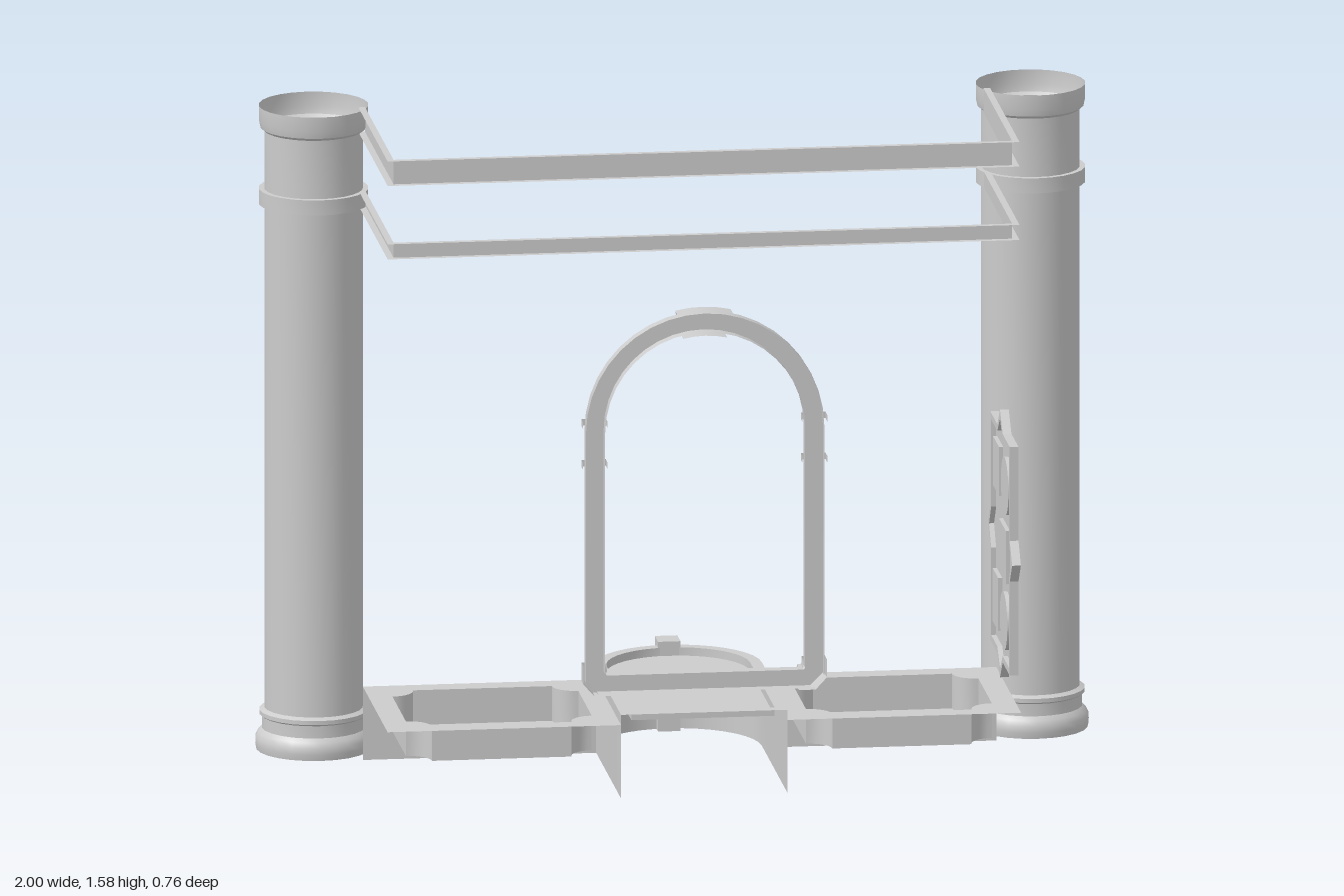
import * as THREE from 'three';
import { toCreasedNormals } from 'three/addons/utils/BufferGeometryUtils.js';

export function createModel() {
  const root = new THREE.Group();
  root.name = 'colonnadeTerrace';
  const stone = new THREE.MeshStandardMaterial({ color: 0xcccccc, side: THREE.DoubleSide });
  stone.name = 'grey stone';

  const add = (name, geo, parent = root) => {
    const m = new THREE.Mesh(geo, stone);
    m.name = name;
    parent.add(m);
    return m;
  };
  const box = (name, x0, x1, y0, y1, z0, z1, parent) => {
    const m = add(name, new THREE.BoxGeometry(x1 - x0, y1 - y0, z1 - z0), parent);
    m.position.set((x0 + x1) / 2, (y0 + y1) / 2, (z0 + z1) / 2);
    return m;
  };
  // Skin a surface over rows of [x, y, z] points
  const loft = (rows, closed = false) => {
    const pos = [];
    const n = rows[0].length;
    for (let r = 0; r < rows.length - 1; r++) {
      for (let i = 0; i < (closed ? n : n - 1); i++) {
        const j = (i + 1) % n;
        const a = rows[r][i], b = rows[r][j], c = rows[r + 1][j], d = rows[r + 1][i];
        pos.push(...a, ...b, ...c, ...a, ...c, ...d);
      }
    }
    const g = new THREE.BufferGeometry();
    g.setAttribute('position', new THREE.Float32BufferAttribute(pos, 3));
    g.computeVertexNormals();
    return toCreasedNormals(g, 0.5);
  };
  const shapeOf = (pts) => new THREE.Shape(pts.map(([x, y]) => new THREE.Vector2(x, y)));
  // Flat horizontal sheet from (x, z) points, facing up
  const sheet = (outline, y, hole) => {
    const s = shapeOf(outline);
    if (hole) s.holes.push(shapeOf(hole));
    return new THREE.ShapeGeometry(s).rotateX(-Math.PI / 2).scale(1, 1, -1).translate(0, y, 0);
  };

  // Hollow columns with moulded base, collar and lip
  const profile = [
    [0.137, 0], [0.14, 0.015], [0.139, 0.03], [0.133, 0.043], [0.124, 0.052], [0.124, 0.082],
    [0.13, 0.086], [0.13, 0.096], [0.118, 0.102], [0.118, 1.335], [0.131, 1.335], [0.131, 1.372],
    [0.118, 1.372], [0.118, 1.515], [0.127, 1.522], [0.131, 1.54], [0.131, 1.575],
  ].map(([r, y]) => new THREE.Vector2(r, y));
  for (const s of [1, -1]) {
    const column = add(s > 0 ? 'leftColumn' : 'rightColumn',
      toCreasedNormals(new THREE.LatheGeometry(profile, 24), 0.6));
    column.position.set(s * 0.86, 0, -0.24);
  }

  // Channel rails running round three sides, open outward
  const railPath = (o, y) => {
    const x = 0.742 + o, z = 0.33 + o;
    return [[x, y, -0.2], [x, y, z], [-x, y, z], [-x, y, -0.2]];
  };
  for (const [name, y0, y1] of [['upperRail', 1.515, 1.575], ['lowerRail', 1.335, 1.372]]) {
    add(name, loft([railPath(0.016, y1), railPath(0, y1), railPath(0, y0), railPath(0.016, y0)]));
  }

  // Side decks with sunken trays that have scooped corners
  const trayOutline = (cx, cz, a, b, r) => {
    const pts = [];
    const corners = [[a, b], [-a, b], [-a, -b], [a, -b]];
    corners.forEach(([x, z], k) => {
      const polar = (deg, rad) => {
        const t = (deg + 90 * k) * Math.PI / 180;
        pts.push([cx + x + rad * Math.cos(t), cz + z + rad * Math.sin(t)]);
      };
      polar(-90, r);
      for (let i = 0; i <= 6; i++) polar(-102 - i * 11, r);
      polar(-180, r);
    });
    return pts;
  };
  for (const s of [1, -1]) {
    const deck = new THREE.Group();
    deck.name = s > 0 ? 'leftDeck' : 'rightDeck';
    root.add(deck);
    const xa = s * 0.2, xb = s * 0.76;
    const tray = trayOutline(s * 0.48, 0.133, 0.223, 0.18, 0.056);
    add('deckTop', sheet([[xa, -0.1], [xb, -0.1], [xb, 0.36], [xa, 0.36]], 0.18, tray), deck);
    add('trayWall', loft([0.18, 0.095].map((y) => tray.map(([x, z]) => [x, y, z])), true), deck);
    add('trayFloor', sheet(tray, 0.095), deck);
    add('deckBackWall', loft([0, 0.18].map((y) => [[xa, y, -0.1], [xb, y, -0.1]])), deck);
  }

  // Round-ended central basin with a raised rim
  const basinPath = (w, front) => {
    const pts = [[w, front]];
    for (let i = 0; i <= 18; i++) {
      const t = (i / 18) * Math.PI;
      pts.push([w * Math.cos(t), -0.12 - w * Math.sin(t)]);
    }
    pts.push([-w, front]);
    return pts;
  };
  const at = (pts, y) => pts.map(([x, z]) => [x, y, z]);
  const outer = basinPath(0.2, 0.36), inner = basinPath(0.172, 0.335);
  add('basinWall', loft([at(outer, 0), at(outer, 0.205)]));
  add('basinRim', loft([at(outer, 0.205), at(inner, 0.205), at(inner, 0.185)], true));
  add('basinFloor', sheet(inner, 0.185));
  box('basinKeystone', -0.027, 0.027, 0, 0.22, -0.35, -0.29);

  // Arched window frame, a channel open to the front
  const archPath = (w, bottom, c, z) => {
    const pts = [[-w, bottom + c, z], [-w + c, bottom, z], [w - c, bottom, z], [w, bottom + c, z]];
    for (let i = 0; i <= 20; i++) {
      const t = (i / 20) * Math.PI;
      pts.push([w * Math.cos(t), 0.9 + w * Math.sin(t), z]);
    }
    return pts;
  };
  const frame = new THREE.Group();
  frame.name = 'archFrame';
  root.add(frame);
  add('archMoulding', loft([
    archPath(0.286, 0.26, 0.03, 0.375), archPath(0.286, 0.26, 0.03, 0.345),
    archPath(0.24, 0.306, 0.004, 0.345), archPath(0.24, 0.306, 0.004, 0.375),
  ], true), frame);
  for (const s of [1, -1]) {
    // Bands round the uprights, as three-sided clips
    for (const y of [0.82, 0.92]) {
      const clip = (yy) => [[0.293, 0.375], [0.293, 0.341], [0.234, 0.341], [0.234, 0.375]]
        .map(([x, z]) => [s * x, yy, z]);
      add('archBand', loft([clip(y - 0.008), clip(y + 0.008)]), frame);
    }
    // Rounded corner sleeves at the foot
    const foot = (z) => [[0.292, 0.33], [0.292, 0.285], [0.265, 0.256], [0.225, 0.256]]
      .map(([x, y]) => [s * x, y, z]);
    const footIn = (z) => [[0.236, 0.33], [0.236, 0.315], [0.234, 0.31], [0.225, 0.31]]
      .map(([x, y]) => [s * x, y, z]);
    add('archCorner', loft([foot(0.375), foot(0.336), footIn(0.336), footIn(0.375)]), frame);
  }
  // Wedge keystone at the crown
  const crown = (z, r) => [-0.23, -0.11, 0, 0.11, 0.23]
    .map((t) => [r * Math.sin(t), 0.9 + r * Math.cos(t), z]);
  add('archKeystone', loft([crown(0.377, 0.292), crown(0.332, 0.292), crown(0.332, 0.232), crown(0.377, 0.232)]), frame);

  // Pointed wall panel on the left side, drawn in (z, y)
  const panel = new THREE.Group();
  panel.name = 'wallPanel';
  root.add(panel);
  const star = (d) => {
    const a = 0.18 - d, b = 0.28 - d, p = 0.05;
    const quarter = [[a, p], [a, b], [p, b]];
    const pts = [[0.225 - d * 1.4, 0], ...quarter, [0, 0.328 - d * 1.4]];
    const flip = quarter.map(([z, y]) => [-z, y]).reverse();
    const top = [...pts, ...flip];
    return [...top, ...top.map(([z, y]) => [-z, -y])].map(([z, y]) => [z + 0.1, y + 0.532]);
  };
  const upright = (pts, x) => pts.map(([z, y]) => [x, y, z]);
  const edge = star(0), lip = star(0.016);
  add('panelRim', loft([upright(lip, 0.755), upright(lip, 0.764), upright(edge, 0.764),
    upright(edge, 0.743), upright(lip, 0.743), upright(lip, 0.755)], true), panel);
  // Shape's x axis becomes z after the turn
  add('panelFace', new THREE.ShapeGeometry(shapeOf(lip.map(([z, y]) => [-z, y])))
    .rotateY(Math.PI / 2).translate(0.755, 0, 0), panel);
  // Relief blocks and discs on the inner face
  for (const [z, y, w, h] of [[0.01, 0.7, 0.11, 0.12], [0.13, 0.52, 0.13, 0.13], [0, 0.37, 0.1, 0.13]]) {
    box('panelBlock', 0.745, 0.757, y - h / 2, y + h / 2, z - w / 2, z + w / 2, panel);
  }
  for (const [z, y] of [[0.17, 0.69], [0.15, 0.355]]) {
    const disc = add('panelDisc', new THREE.CylinderGeometry(0.07, 0.07, 0.012, 20), panel);
    disc.rotation.z = Math.PI / 2;
    disc.position.set(0.751, y, z);
  }
  return root;
}
